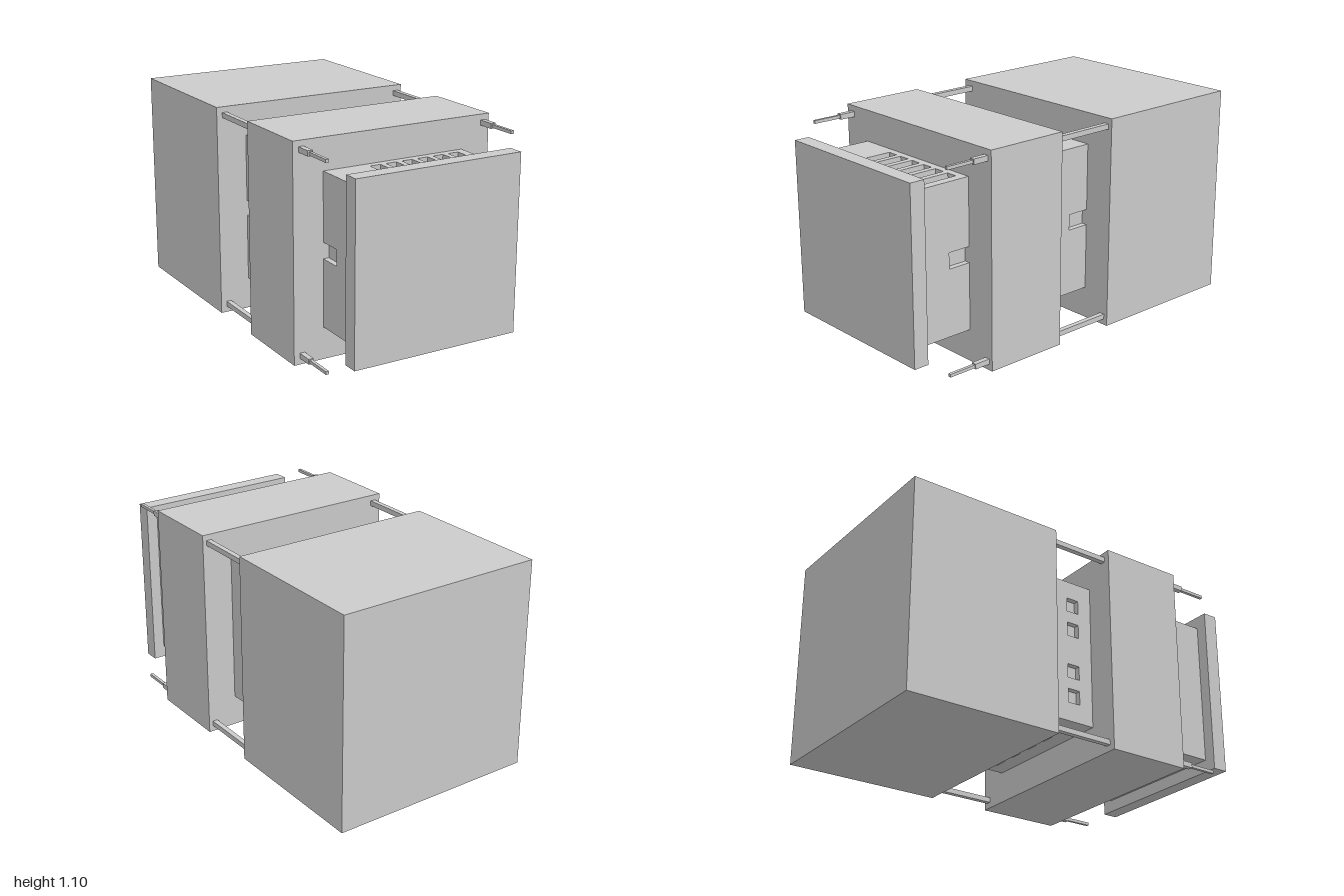
import * as THREE from 'three';

const material = new THREE.MeshStandardMaterial({ color: 0xcccccc, flatShading: true });
const SKIN = 0.03; // depth of the slots and notches
const HALF = 0.39, BOTTOM = 0.165, TOP = 0.938;

function add(parent, name, geometry) {
  const mesh = new THREE.Mesh(geometry, material);
  mesh.name = name;
  parent.add(mesh);
  return mesh;
}

// Box given by its limits on each axis
function box(parent, name, [x0, x1], [y0, y1], [z0, z1]) {
  const mesh = add(parent, name, new THREE.BoxGeometry(x1 - x0, y1 - y0, z1 - z0));
  mesh.position.set((x0 + x1) / 2, (y0 + y1) / 2, (z0 + z1) / 2);
}

function rectangle(Type, [u0, u1, v0, v1]) {
  return new Type([[u0, v0], [u1, v0], [u1, v1], [u0, v1]].map(p => new THREE.Vector2(...p)));
}

// Flat plate with rectangular cut-outs
function plate(outline, holes) {
  const shape = rectangle(THREE.Shape, outline);
  shape.holes = holes.map(h => rectangle(THREE.Path, h));
  return new THREE.ExtrudeGeometry(shape, { depth: SKIN, bevelEnabled: false });
}

// Inner housing: solid core wrapped in plates with slots; ends run into the neighbouring blocks
function housing(parent, name, z0, z1, topHoles, sideHoles) {
  const group = new THREE.Group();
  group.name = name;
  parent.add(group);
  box(group, 'core', [-HALF + SKIN, HALF - SKIN], [BOTTOM + SKIN, TOP - SKIN], [z0, z1]);
  for (const [label, y] of [['topPlate', TOP], ['bottomPlate', BOTTOM + SKIN]]) {
    const g = plate([-HALF, HALF, z0, z1], topHoles).rotateX(Math.PI / 2);
    add(group, label, g).position.y = y;
  }
  for (const [label, x] of [['leftPlate', HALF], ['rightPlate', -HALF + SKIN]]) {
    const g = plate([z0, z1, BOTTOM + SKIN, TOP - SKIN], sideHoles).rotateY(-Math.PI / 2);
    add(group, label, g).position.x = x;
  }
}

export function createModel() {
  const model = new THREE.Group();
  model.name = 'modularHousing';

  // Outer blocks and front panel
  box(model, 'rearBlock', [-0.55, 0.55], [0, 1.1], [-1, -0.17]);
  box(model, 'middleBlock', [-0.55, 0.55], [0, 1.1], [0.165, 0.613]);
  box(model, 'frontPanel', [-0.453, 0.45], [0.1, 1.005], [0.92, 1]);

  // Front housing: six long vents and a notch on each side
  const vents = [];
  for (let i = 0; i < 6; i++) {
    const x = -0.16 + i * 0.089;
    vents.push([x, x + 0.058, 0.65, 0.868]);
  }
  housing(model, 'frontHousing', 0.57, 0.94, vents, [[0.59, 0.735, 0.51, 0.592]]);

  // Rear housing: rows of small square openings and a notch on each side
  const topSquares = [-0.175, -0.038, 0.1, 0.237].map(x => [x, x + 0.075, 0.008, 0.078]);
  const sideSquares = [0.265, 0.4, 0.633, 0.77].map(y => [0.016, 0.086, y, y + 0.074]);
  housing(model, 'rearHousing', -0.22, 0.21, topSquares,
    [...sideSquares, [-0.2, -0.048, 0.51, 0.592]]);

  // Four square tie rods with thin tips
  for (const x of [-0.506, 0.515]) {
    for (const y of [0.045, 1.057]) {
      const rod = new THREE.Group();
      rod.name = 'tieRod';
      rod.position.set(x, y, 0);
      model.add(rod);
      const thick = [-0.0135, 0.0135], thin = [-0.008, 0.008];
      box(rod, 'rearRod', thick, thick, [-0.19, 0.19]);
      box(rod, 'frontRod', thick, thick, [0.59, 0.698]);
      box(rod, 'rodTip', thin, thin, [0.69, 0.848]);
    }
  }
  return model;
}
